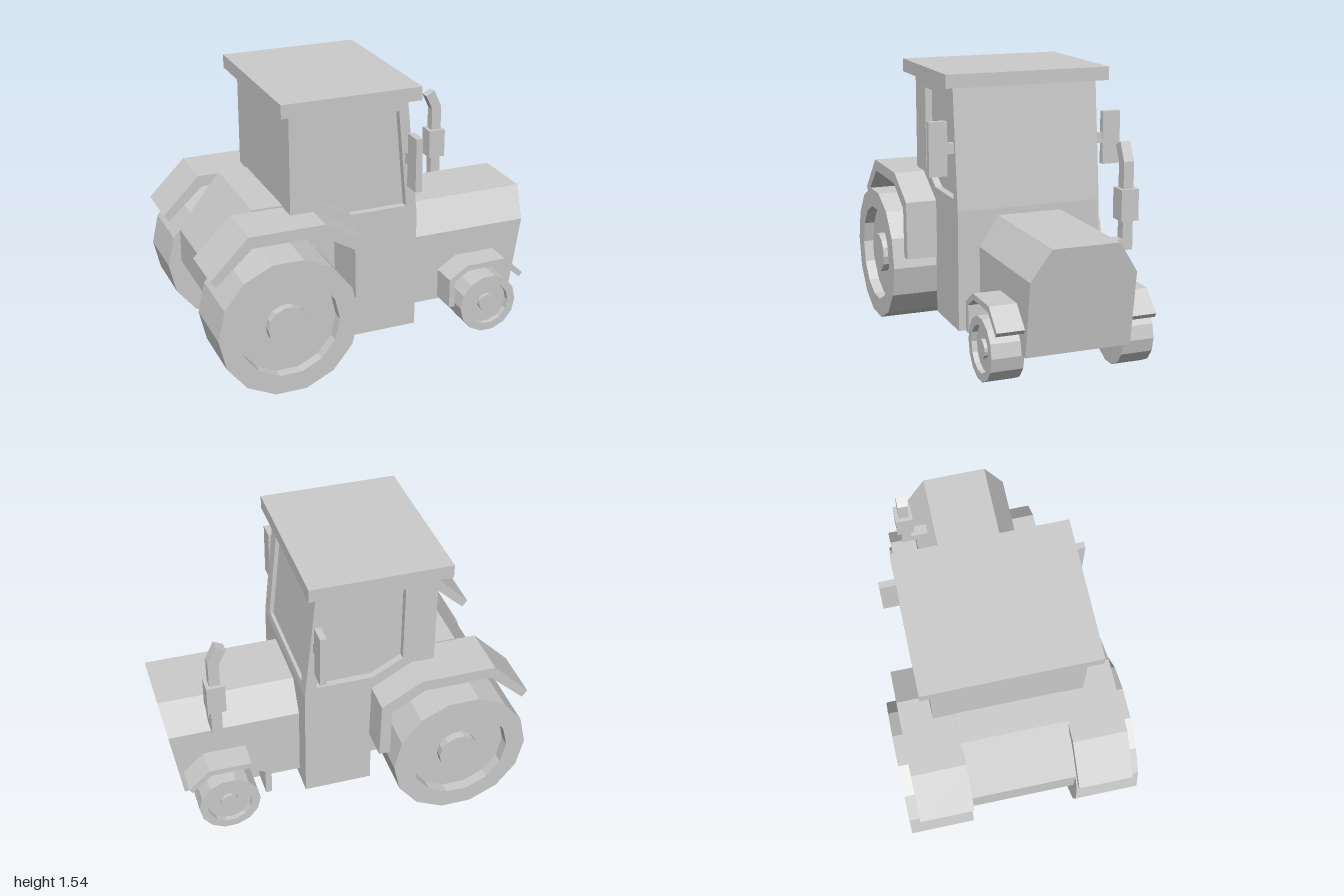
import * as THREE from 'three';

const material = new THREE.MeshStandardMaterial({ color: 0xcccccc, flatShading: true });

const toShape = (pts) => new THREE.Shape(pts.map(([x, y]) => new THREE.Vector2(x, y)));

// Side profile (x, y) extruded from z0 to z1, with an optional hole.
function profile(pts, z0, z1, hole) {
  const shape = toShape(pts);
  if (hole) shape.holes.push(new THREE.Path(toShape(hole).getPoints()));
  const geo = new THREE.ExtrudeGeometry(shape, { depth: z1 - z0, bevelEnabled: false });
  return geo.translate(0, 0, z0);
}

// Cross-section (z, y) extruded along x, then moved by shift(x, y).
function section(pts, x0, x1, shift, hole) {
  const flip = (list) => list && list.map(([z, y]) => [-z, y]);
  const geo = profile(flip(pts), x0, x1, flip(hole)).rotateY(Math.PI / 2);
  const p = geo.attributes.position;
  for (let i = 0; i < p.count; i++) p.setX(i, p.getX(i) + shift(p.getX(i), p.getY(i)));
  geo.computeVertexNormals();
  return geo;
}

function box(x0, x1, y0, y1, z0, z1) {
  return new THREE.BoxGeometry(x1 - x0, y1 - y0, z1 - z0)
    .translate((x0 + x1) / 2, (y0 + y1) / 2, (z0 + z1) / 2);
}

// 14-sided wheel with dished rims and a raised hub, centred on its axle.
function wheel(name, r, rim, hub, z0, z1, dish) {
  const group = new THREE.Group();
  group.name = name;
  const pts = [
    [0, z0], [r, z0], [r, z1], [rim, z1], [rim, z1 - dish],
    [hub, z1 - dish], [hub, z1 - dish * 0.25], [0, z1 - dish * 0.25],
  ].map(([x, y]) => new THREE.Vector2(x, y));
  const geo = new THREE.LatheGeometry(pts, 14).rotateY(Math.PI / 2).rotateX(Math.PI / 2);
  const tyre = new THREE.Mesh(geo, material);
  tyre.name = name + 'Body';
  group.add(tyre);
  return group;
}

export function createModel() {
  const model = new THREE.Group();
  model.name = 'tractor';
  const add = (name, geo) => {
    const mesh = new THREE.Mesh(geo, material);
    mesh.name = name;
    model.add(mesh);
    return mesh;
  };

  // Cabin: recessed core, side panels with window openings, windscreen frame
  const d = 0.04;
  const rear = [[-0.15, 0.12], [-0.15, 0.75], [-0.37, 0.88], [-0.5, 0.88], [-0.5, 1.47]].reverse();
  const cabinSide = [...rear, [0.235, 0.12], [0.235, 0.8], [0.17, 1.47]];
  const cabinCore = [...rear, [0.235, 0.12], [0.235, 0.8], [0.235 - d, 0.8], [0.17 - d, 1.47]];
  const sideWindow = [[-0.32, 1.405], [0.12, 1.405], [0.17, 0.855], [-0.15, 0.855], [-0.32, 0.95]];
  add('cabinCore', profile(cabinCore, -0.42 + d, 0.42 - d));
  add('cabinPanel', profile(cabinSide, 0.42 - d, 0.42, sideWindow));
  add('cabinPanel', profile(cabinSide, -0.42, -0.42 + d, sideWindow));
  const w = 0.42 - d;
  add('windscreenFrame', section(
    [[-w, 0.8], [w, 0.8], [w, 1.47], [-w, 1.47]], 0.235 - d, 0.235,
    (x, y) => -(y - 0.8) * 0.065 / 0.67,
    [[-0.333, 0.85], [0.333, 0.85], [0.333, 1.405], [-0.333, 1.405]]));
  add('roof', box(-0.56, 0.225, 1.47, 1.545, -0.477, 0.477));

  // Engine hood with chamfered top and raked nose
  add('hood', section(
    [[-0.295, 0.175], [0.295, 0.175], [0.295, 0.59], [0.185, 0.76], [-0.185, 0.76], [-0.295, 0.59]],
    0.23, 1, (x, y) => (x > 0.5 ? -(0.76 - y) * 0.154 : 0)));

  // Rear body between the big wheels
  add('rearBody', profile([[-0.14, 0.2], [-0.14, 0.92], [-0.67, 0.92], [-0.91, 0.6],
    [-0.91, 0.4], [-0.72, 0.2]], -0.3, 0.3));

  // Fender strips and mirrors on both sides
  const rearFender = [[-1, 0.7], [-0.79, 0.91], [-0.37, 0.91], [-0.145, 0.78], [-0.138, 0.45],
    [-0.2, 0.45], [-0.205, 0.735], [-0.39, 0.845], [-0.77, 0.845], [-0.97, 0.662]];
  const frontFender = [[0.44, 0.19], [0.44, 0.36], [0.55, 0.433], [0.79, 0.433], [0.907, 0.325],
    [0.888, 0.3], [0.775, 0.4], [0.56, 0.4], [0.475, 0.345], [0.475, 0.19]];
  for (const s of [1, -1]) {
    const span = (a, b) => (s > 0 ? [a, b] : [-b, -a]);
    add('rearFender', profile(rearFender, ...span(0.295, 0.598)));
    add('frontFender', profile(frontFender, ...span(0.285, 0.448)));
    add('mirror', box(0.155, 0.192, 0.99, 1.29, ...span(0.46, 0.565)));
    add('mirrorArm', box(0.16, 0.187, 1.11, 1.17, ...span(0.4, 0.465)));

    const back = wheel('rearWheel', 0.39, 0.28, 0.115, 0.3, 0.658, 0.06);
    back.position.set(-0.597, 0.381, 0);
    const front = wheel('frontWheel', 0.175, 0.128, 0.052, 0.28, 0.46, 0.03);
    front.position.set(0.685, 0.172, 0);
    for (const item of [back, front]) {
      if (s < 0) item.rotation.y = Math.PI;
      model.add(item);
    }
  }

  // Exhaust on one side of the hood
  add('exhaustPipe', profile([[0.685, 0.64], [0.745, 0.64], [0.745, 1.115], [0.698, 1.217],
    [0.645, 1.19], [0.685, 1.105]], -0.38, -0.322));
  add('exhaustMuffler', box(0.663, 0.765, 0.8, 0.97, -0.402, -0.303));
  add('exhaustElbow', box(0.685, 0.745, 0.64, 0.7, -0.325, -0.22));

  return model;
}
